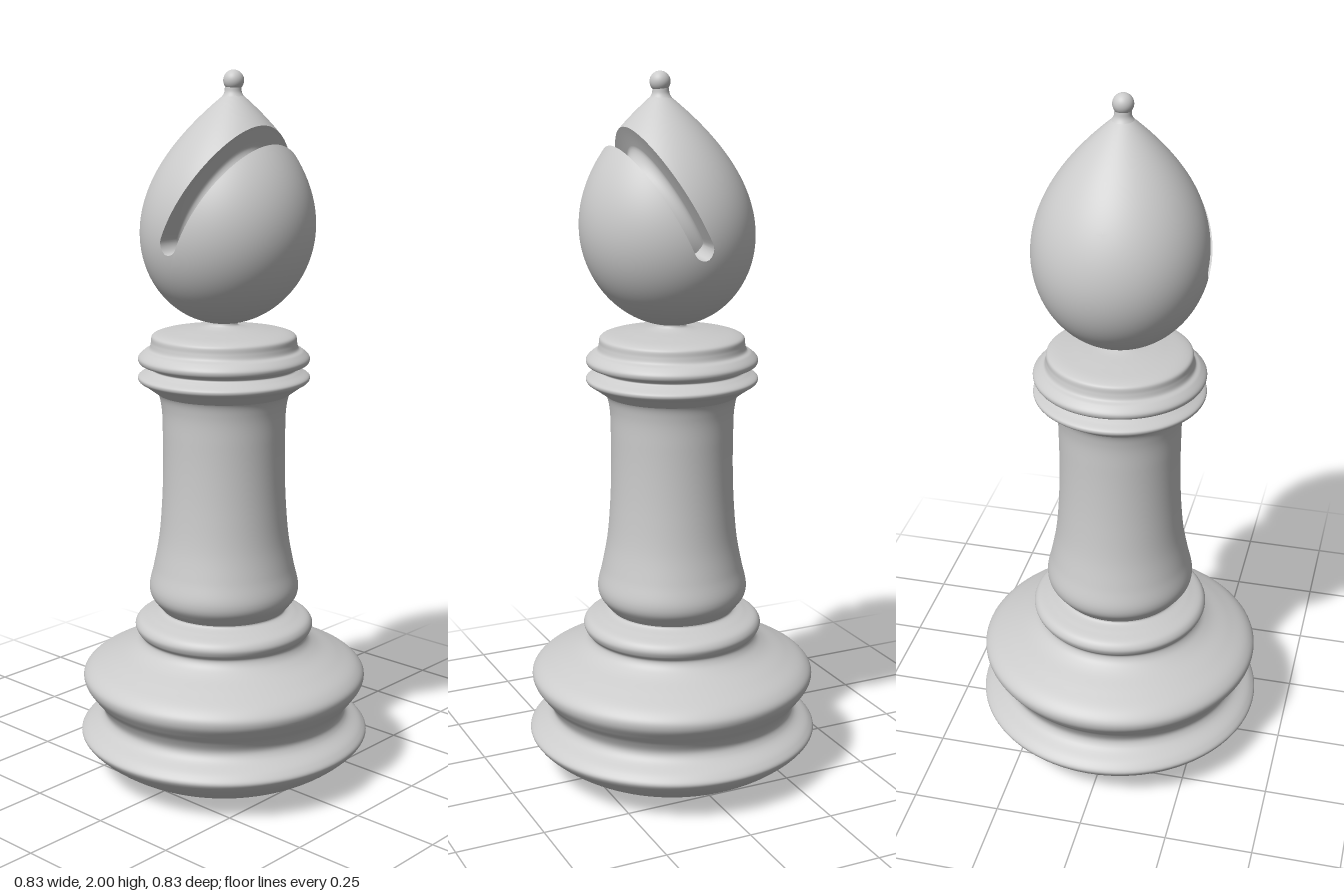
import * as THREE from 'three';
import { toCreasedNormals } from 'three/addons/utils/BufferGeometryUtils.js';

const material = new THREE.MeshStandardMaterial({ color: 0xcccccc });
const BOTTOM = 1.315, WIDEST = 1.575, TOP = 1.955, RADIUS = 0.24, LEAN = 0.035;

function add(group, name, geometry) {
  const mesh = new THREE.Mesh(geometry, material);
  mesh.name = name;
  group.add(mesh);
  return mesh;
}

// Smooth turned shape through [radius, height] pairs
function turned(pairs, samples, sides) {
  const curve = new THREE.CatmullRomCurve3(pairs.map(([r, y]) => new THREE.Vector3(r, y, 0)), false, 'centripetal');
  const points = curve.getPoints(samples).map(p => new THREE.Vector2(Math.max(p.x, 0), p.y));
  return new THREE.LatheGeometry(points, sides);
}

// Egg radius and leaning axis at a height
function eggRadius(y) {
  if (y <= BOTTOM || y >= TOP) return 0;
  if (y < WIDEST) return RADIUS * Math.sqrt(1 - ((WIDEST - y) / (WIDEST - BOTTOM)) ** 2);
  return RADIUS * (1 - ((y - WIDEST) / (TOP - WIDEST)) ** 2);
}
const eggAxis = y => LEAN * (y - BOTTOM) / (TOP - BOTTOM);

// Distance from an inner point to the egg surface along a direction
function reach(p, dir) {
  let lo = 0, hi = 0.8;
  for (let i = 0; i < 36; i++) {
    const m = (lo + hi) / 2;
    const y = p.y + dir.y * m;
    if (Math.hypot(p.x + dir.x * m - eggAxis(y), p.z + dir.z * m) < eggRadius(y)) lo = m;
    else hi = m;
  }
  return lo;
}

// Egg sliced parallel to the slanted groove, with the groove rows inset
function groovedEgg() {
  const along = new THREE.Vector3(0.447, 0.894, 0).normalize();
  const side = new THREE.Vector3(0, 0, 1);
  const normal = new THREE.Vector3().crossVectors(along, side);
  const centre = new THREE.Vector3(0.016, 1.55, 0);
  const halfWidth = 0.028, depth = 0.075;

  // Outermost egg point on each side of the groove
  const extreme = sign => {
    let best = -Infinity, point = null;
    for (let i = 0; i <= 2000; i++) {
      const y = BOTTOM + (TOP - BOTTOM) * i / 2000;
      const p = new THREE.Vector3(eggAxis(y) + sign * eggRadius(y), y, 0);
      const d = sign * p.dot(normal);
      if (d > best) { best = d; point = p; }
    }
    return { point, s: point.clone().sub(centre).dot(normal) };
  };
  const low = extreme(-1), high = extreme(1);

  const rows = [];
  const steps = 40, grooveSteps = 12;
  for (let i = steps; i >= 0; i--) rows.push([-halfWidth + (low.s + halfWidth) * Math.sin(i / steps * Math.PI / 2), false]);
  for (let i = 0; i <= grooveSteps; i++) rows.push([-halfWidth * Math.cos(i / grooveSteps * Math.PI), true]);
  for (let i = 0; i <= steps; i++) rows.push([halfWidth + (high.s - halfWidth) * Math.sin(i / steps * Math.PI / 2), false]);

  const positions = [], index = [], arc = 64;
  const columns = 2 * (arc + 1);
  for (const [s, inGroove] of rows) {
    const end = s < 0 ? low : high;
    const c = centre.clone().lerp(end.point, s / end.s);
    // Rounded cross-section and rounded ends of the groove
    const round = Math.sqrt(Math.max(0, 1 - (s / halfWidth) ** 2));
    const edge = Math.PI / 2 + Math.asin(halfWidth * round / RADIUS);
    for (let j = 0; j < columns; j++) {
      const inner = j <= arc;
      const a = inner ? -edge + 2 * edge * j / arc
        : edge + (2 * Math.PI - 2 * edge) * (j - arc - 1) / arc;
      const dir = along.clone().multiplyScalar(Math.cos(a)).addScaledVector(side, Math.sin(a));
      let r = reach(c, dir);
      if (inner && inGroove) r -= depth * (0.75 + 0.25 * round);
      const p = c.clone().addScaledVector(dir, r);
      positions.push(p.x, p.y, p.z);
    }
  }
  for (let i = 0; i < rows.length - 1; i++) {
    for (let j = 0; j < columns; j++) {
      const a = i * columns + j, b = i * columns + (j + 1) % columns;
      index.push(a, b, a + columns, b, b + columns, a + columns);
    }
  }
  const geometry = new THREE.BufferGeometry();
  geometry.setAttribute('position', new THREE.Float32BufferAttribute(positions, 3));
  geometry.setIndex(index);
  // Enlarged while creasing so that close vertices stay distinct
  geometry.scale(100, 100, 100);
  return toCreasedNormals(geometry, 0.7).scale(0.01, 0.01, 0.01);
}

export function createModel() {
  const model = new THREE.Group();
  model.name = 'chessBishop';

  // Double-rimmed base with its upper ring
  add(model, 'base', turned([
    [0, 0], [0.2, 0.002], [0.24, 0.008], [0.31, 0.037], [0.37, 0.075], [0.41, 0.113],
    [0.415, 0.127], [0.4, 0.145], [0.36, 0.17], [0.35, 0.19], [0.362, 0.22], [0.385, 0.25],
    [0.404, 0.28], [0.405, 0.302], [0.385, 0.325], [0.33, 0.352], [0.27, 0.377], [0.245, 0.395],
    [0.238, 0.412], [0.25, 0.428], [0.255, 0.445], [0.245, 0.462], [0.21, 0.475], [0.178, 0.486], [0.176, 0.495],
  ], 150, 96));

  // Waisted column
  add(model, 'column', turned([
    [0.176, 0.49], [0.192, 0.508], [0.209, 0.533], [0.213, 0.56], [0.2, 0.62], [0.185, 0.7],
    [0.176, 0.8], [0.172, 0.9], [0.172, 1], [0.175, 1.08], [0.185, 1.12], [0.205, 1.14],
  ], 80, 96));

  // Two-ringed collar and small neck under the head
  add(model, 'collar', turned([
    [0.185, 1.12], [0.22, 1.145], [0.238, 1.158], [0.239, 1.168], [0.215, 1.182], [0.203, 1.19],
    [0.212, 1.199], [0.235, 1.206], [0.239, 1.22], [0.222, 1.238], [0.208, 1.246], [0.203, 1.262],
    [0.2, 1.28], [0.185, 1.288], [0.12, 1.298], [0.055, 1.306], [0.038, 1.313], [0.038, 1.335],
  ], 110, 96));

  add(model, 'head', groovedEgg());

  // Flared stem and ball at the tip
  const stem = add(model, 'finialStem', turned([
    [0.072, 1.885], [0.05, 1.908], [0.033, 1.926], [0.024, 1.94], [0.022, 1.955],
  ], 20, 48));
  stem.position.x = LEAN - 0.002;
  const ball = add(model, 'finialBall', new THREE.SphereGeometry(0.028, 40, 24));
  ball.position.set(LEAN, 1.972, 0);

  return model;
}
